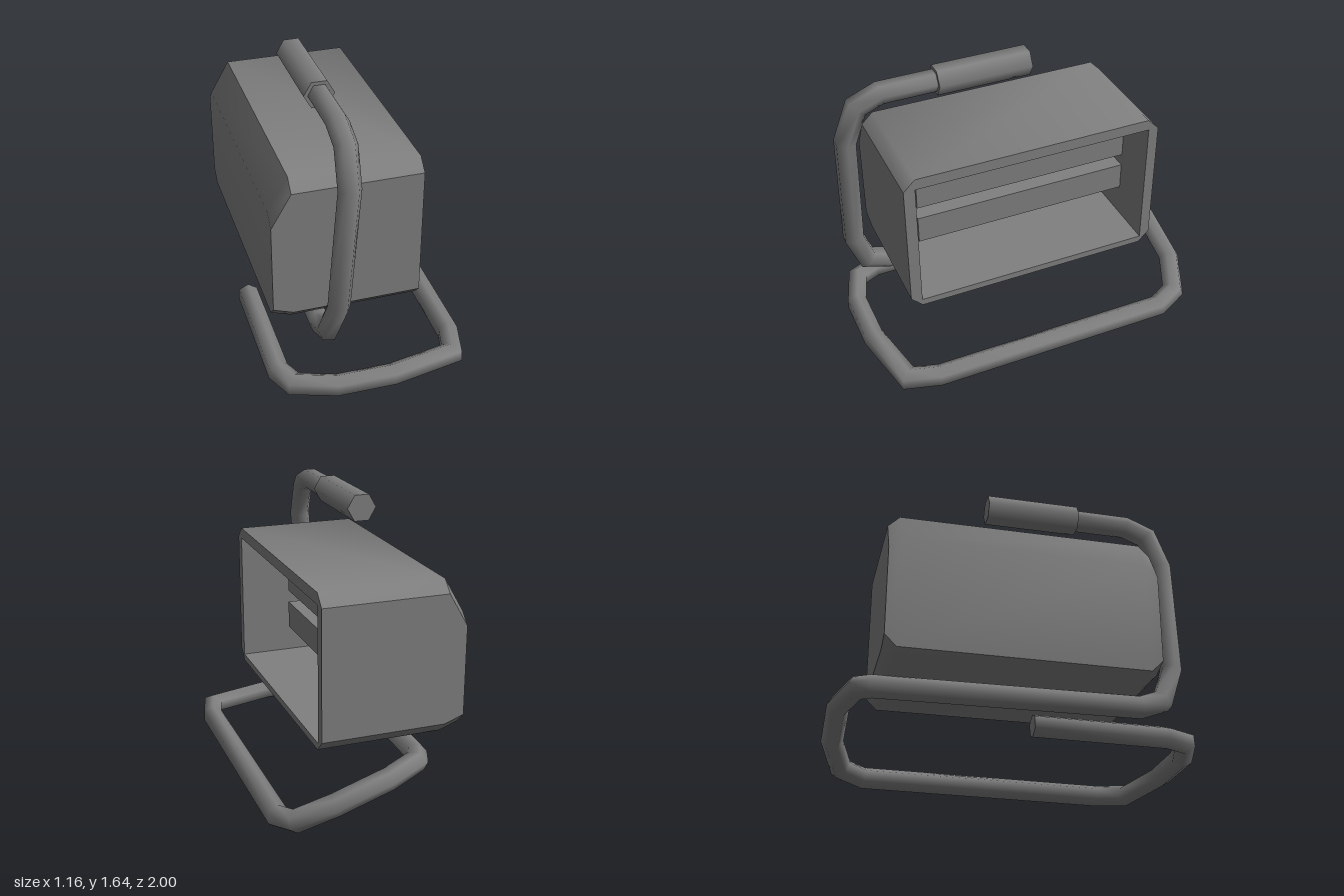
import * as THREE from 'three';
import { toCreasedNormals, mergeGeometries } from 'three/addons/utils/BufferGeometryUtils.js';

const V = (x, y, z) => new THREE.Vector3(x, y, z);

// Skin a row of matching point lists, leaving the ends open
function sheet(rows, crease, closed = false) {
  const n = rows[0].length, pos = [];
  const tri = (...corners) => corners.forEach((p) => pos.push(p.x, p.y, p.z));
  for (let i = 0; i + 1 < rows.length; i++) {
    const a = rows[i], b = rows[i + 1];
    for (let j = 0; j < (closed ? n : n - 1); j++) {
      const k = (j + 1) % n;
      tri(a[j], a[k], b[k]);
      tri(a[j], b[k], b[j]);
    }
  }
  const g = new THREE.BufferGeometry();
  g.setAttribute('position', new THREE.Float32BufferAttribute(pos, 3));
  return toCreasedNormals(g, crease);
}

// Rectangle in the y-z plane with cut corners
function cutRect(x, y0, y1, z0, z1, c) {
  return [
    V(x, y1 - c, z1), V(x, y1, z1 - c), V(x, y1, z0 + c), V(x, y1 - c, z0),
    V(x, y0 + c, z0), V(x, y0, z0 + c), V(x, y0, z1 - c), V(x, y0 + c, z1),
  ];
}

// Hollow housing, open on +x, with a sloping back
function housingGeometry() {
  const outer = [
    cutRect(0.283, 0.415, 1.29, -0.77, 0.75, 0.066),
    cutRect(-0.43, 0.415, 1.29, -0.77, 0.75, 0.066),
    cutRect(-0.54, 0.455, 1.1, -0.77, 0.75, 0.066),
  ];
  const strip = (from, to) => outer.map((loop) => loop.slice(from, to));
  const back = outer[2].slice(4, 8);
  const inner = (x) => cutRect(x, 0.455, 1.225, -0.71, 0.685, 0);
  const deep = inner(-0.42);
  return mergeGeometries([
    // Roof with its bevels, running on over the back
    sheet([...strip(0, 4), back.reverse()], 0.85),
    // Underside with its bevels
    sheet(strip(4, 8), 0.85),
    // Flat ends
    sheet(strip(3, 5), 0.1),
    sheet(outer.map((loop) => [loop[7], loop[0]]), 0.1),
    // Rim, inner walls and the inner back facing the opening
    sheet([deep, inner(0.283), outer[0]], 0.1, true),
    sheet([[deep[3], deep[0]], [deep[4], deep[7]]], 0.1),
  ]);
}

// Six-sided pipe with mitred joints: each ring slides along its segment to the next mitre plane
function bentPipe(points, radius) {
  let ring = [];
  for (let j = 0; j < 6; j++) {
    const a = j * Math.PI / 3;
    ring.push(points[0].clone().add(V(Math.cos(a) * radius, Math.sin(a) * radius, 0)));
  }
  const rings = [ring];
  for (let i = 1; i < points.length; i++) {
    const p = points[i];
    const dir = p.clone().sub(points[i - 1]).normalize();
    const normal = dir.clone();
    if (i + 1 < points.length) normal.add(points[i + 1].clone().sub(p).normalize()).normalize();
    ring = ring.map((v) => {
      const t = p.clone().sub(v).dot(normal) / dir.dot(normal);
      return v.clone().addScaledVector(dir, t);
    });
    rings.push(ring);
  }
  // The free end is closed with two flat quads
  const [a, b, c, d, e, f] = ring;
  return mergeGeometries([
    sheet(rings, 1.55, true),
    sheet([[b, c], [a, d]], 0.1),
    sheet([[e, f], [d, a]], 0.1),
  ]);
}

export function createModel() {
  const model = new THREE.Group();
  const darkGrey = new THREE.MeshStandardMaterial({ color: 0x808080 });
  const add = (name, geometry, x = 0, y = 0, z = 0) => {
    const mesh = new THREE.Mesh(geometry, darkGrey);
    mesh.name = name;
    mesh.position.set(x, y, z);
    model.add(mesh);
  };

  add('housing', housingGeometry());

  // Two bars inside the housing
  for (const [name, y] of [['upperBar', 0.965], ['lowerBar', 0.725]]) {
    add(name, new THREE.BoxGeometry(0.2, 0.165, 1.305), -0.09, y, -0.0575);
  }

  // One bent pipe forms the handle arm, the support and the floor stand
  add('pipeFrame', bentPipe([
    V(-0.175, 1.567, 0.3), V(-0.175, 1.565, 0.705), V(-0.175, 1.51, 0.84), V(-0.178, 1.305, 0.918),
    V(-0.23, 0.61, 0.918), V(-0.265, 0.4, 0.84), V(-0.274, 0.347, 0.705),
    V(-0.25, 0.343, -0.79), V(-0.22, 0.338, -0.865), V(-0.025, 0.302, -0.943),
    V(0.275, 0.205, -0.943), V(0.465, 0.11, -0.87), V(0.52, 0.079, -0.735),
    V(0.508, 0.064, 0.68), V(0.46, 0.064, 0.855), V(0.075, 0.077, 0.938),
    V(-0.245, 0.082, 0.938), V(-0.467, 0.085, 0.865), V(-0.523, 0.086, 0.74),
    V(-0.523, 0.09, 0.015),
  ], 0.063));

  // Hexagonal grip with its points to the sides
  const grip = new THREE.CylinderGeometry(0.085, 0.085, 0.55, 6);
  grip.rotateY(Math.PI / 2).rotateX(Math.PI / 2);
  add('grip', grip, -0.175, 1.567, 0.115);

  return model;
}
